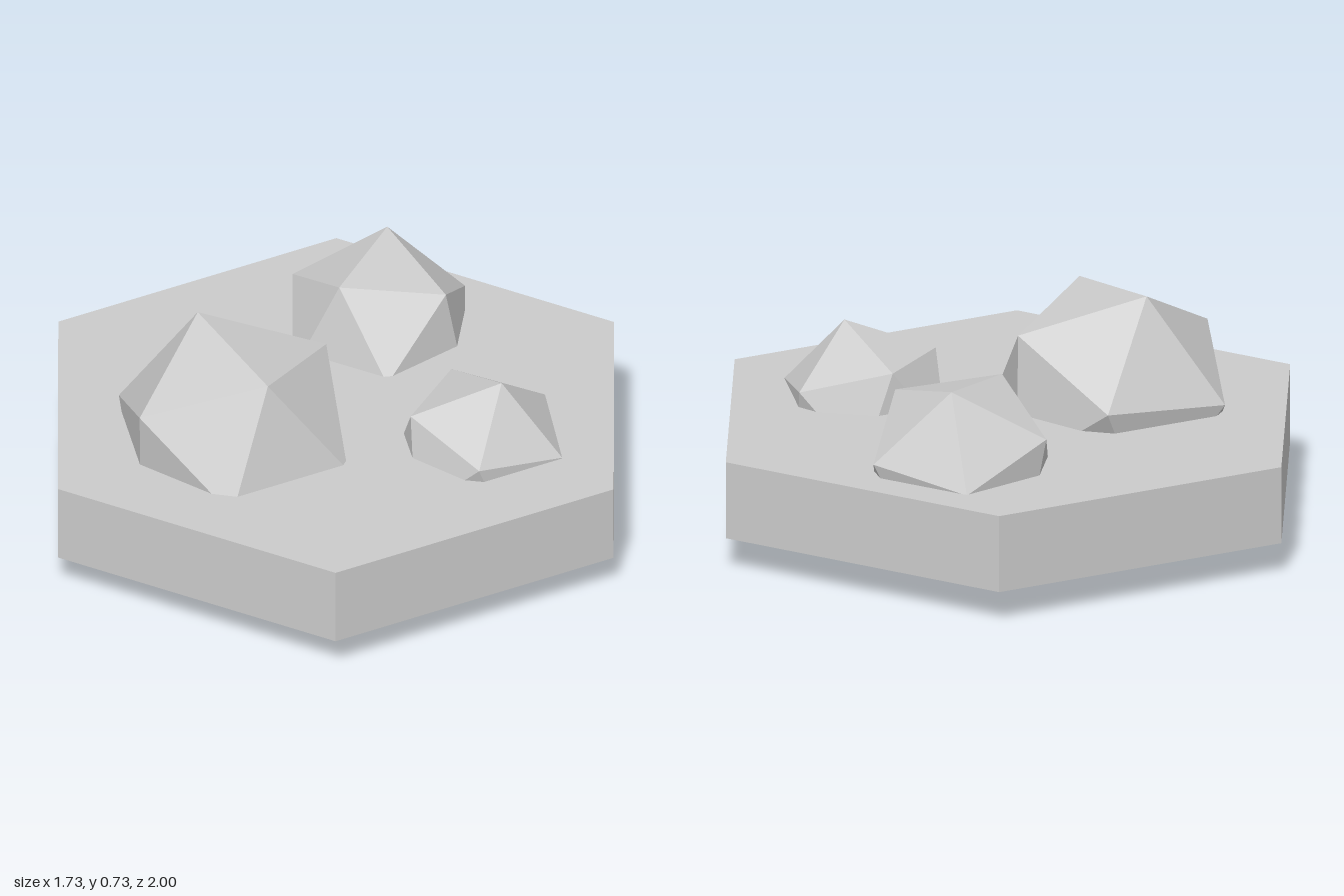
import * as THREE from 'three';

const material = new THREE.MeshStandardMaterial({ color: 0xcccccc, flatShading: true });

// Orthonormal frame whose x axis follows a and whose xy plane holds b
function frame(a, b) {
  const x = a.clone().normalize();
  const z = a.clone().cross(b).normalize();
  return new THREE.Matrix4().makeBasis(x, z.clone().cross(x), z);
}

// Icosahedral rock: tip and next are offsets from the centre to two adjacent corners
function makeRock(name, radius, centre, tip, next) {
  const t = (1 + Math.sqrt(5)) / 2;
  const source = frame(new THREE.Vector3(-1, t, 0), new THREE.Vector3(1, t, 0));
  const target = frame(new THREE.Vector3(...tip), new THREE.Vector3(...next));
  const rock = new THREE.Mesh(new THREE.IcosahedronGeometry(radius, 0), material);
  rock.name = name;
  rock.quaternion.setFromRotationMatrix(target.multiply(source.transpose()));
  rock.position.set(...centre);
  return rock;
}

export function createModel() {
  const group = new THREE.Group();
  group.name = 'rockTile';

  // Hexagonal slab with corners pointing to the front and back
  const slab = new THREE.Mesh(new THREE.CylinderGeometry(1, 1, 0.25, 6), material);
  slab.name = 'hexSlab';
  slab.position.y = 0.231;
  group.add(slab);

  // Three rocks sunk through the slab
  group.add(
    makeRock('largeRock', 0.4, [-0.32, 0.364, 0.175], [-0.111, 0.364, -0.125], [0.108, 0.31, 0.23]),
    makeRock('mediumRock', 0.32, [0.133, 0.345, -0.478], [0.026, 0.287, -0.138], [-0.123, 0.245, 0.161]),
    makeRock('smallRock', 0.288, [0.449, 0.303, 0.197], [0.067, 0.276, 0.036], [-0.002, 0.1, 0.271])
  );
  return group;
}
